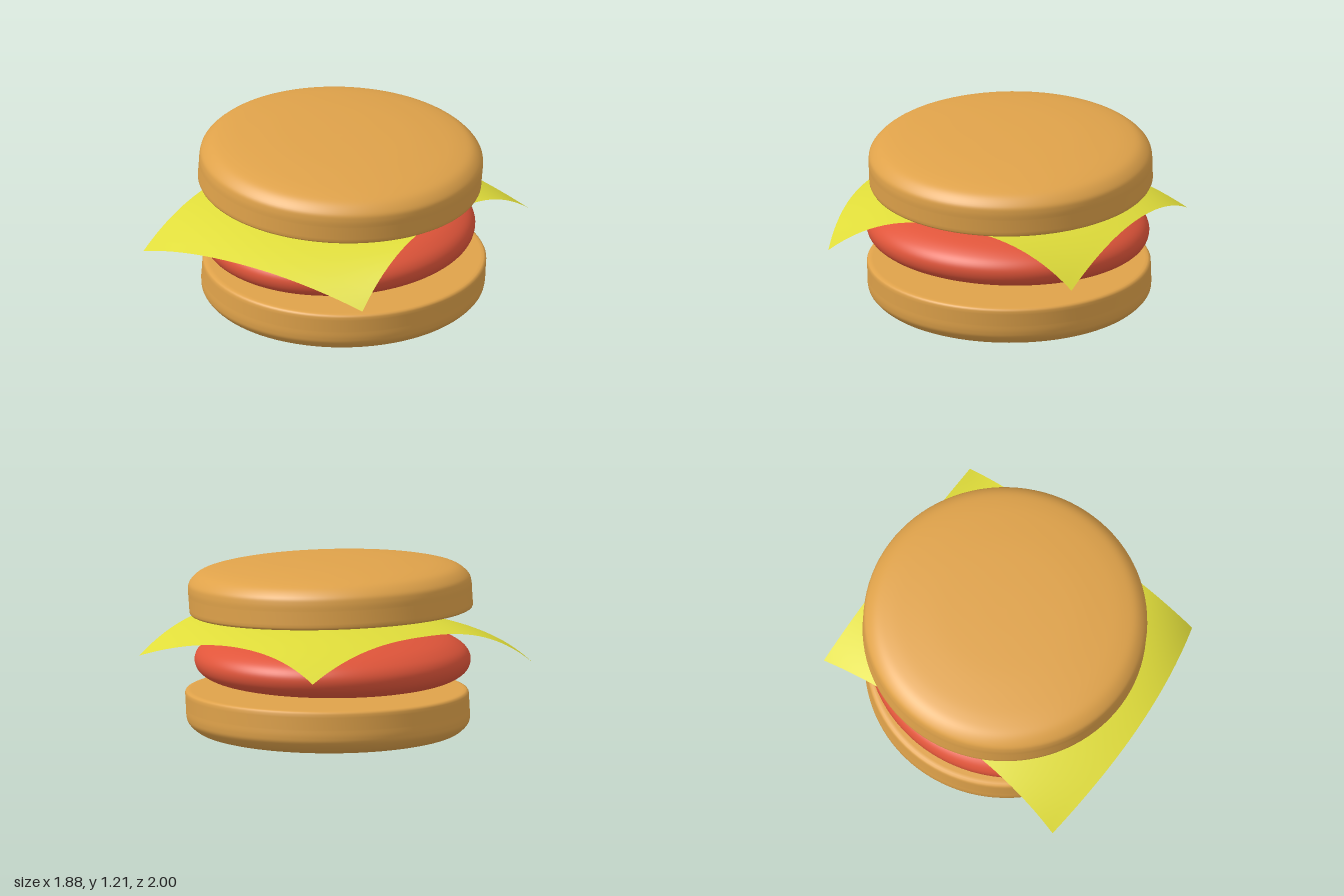
import * as THREE from 'three';

const material = (color, side = THREE.FrontSide) => new THREE.MeshStandardMaterial({ color, side });
const vectors = (points) => points.map(([x, y]) => new THREE.Vector2(x, y));

// Slightly skewed round solid: x leans by `lean` per unit of height
function skewX(geometry, lean) {
  const m = new THREE.Matrix4().set(1, lean, 0, 0, 0, 1, 0, 0, 0, 0, 1, 0, 0, 0, 0, 1);
  return geometry.applyMatrix4(m);
}

// Flat base with a small edge, straight wall, softly rounded crown
function bunGeometry() {
  const crown = new THREE.SplineCurve(vectors([
    [0.918, 0.12], [0.918, 0.17], [0.905, 0.215], [0.85, 0.265], [0.77, 0.292],
    [0.65, 0.312], [0.45, 0.332], [0.2, 0.342], [0, 0.344],
  ])).getPoints(40);
  const base = vectors([[0, 0], [0.88, 0], [0.9, 0.002], [0.912, 0.008], [0.918, 0.02], [0.918, 0.04]]);
  return new THREE.LatheGeometry([...base, ...crown], 96);
}

// Disc with a fully rounded rim
function pattyGeometry() {
  const profile = new THREE.SplineCurve(vectors([
    [0, 0], [0.35, 0.003], [0.6, 0.014], [0.78, 0.042], [0.87, 0.085], [0.905, 0.14],
    [0.9, 0.2], [0.85, 0.255], [0.74, 0.305], [0.55, 0.343], [0.3, 0.362], [0, 0.367],
  ])).getPoints(60);
  return new THREE.LatheGeometry(profile, 96);
}

// Square sheet draped over the patty, with drooping corners
function cheeseGeometry() {
  // Plan positions [x, z]: rows back, middle, front; columns left to right in x
  const plan = [
    [[-0.70, -1.0], [0.02, -0.93], [0.92, -0.87]],
    [[-0.78, 0], [0, 0], [0.80, 0]],
    [[-0.94, 0.87], [-0.08, 1.0], [0.74, 0.915]],
  ];
  const quadratic = (t) => [t * (t - 1) / 2, 1 - t * t, t * (t + 1) / 2];
  const geometry = new THREE.PlaneGeometry(2, 2, 32, 32).rotateX(-Math.PI / 2);
  const pos = geometry.attributes.position;
  for (let i = 0; i < pos.count; i++) {
    const u = pos.getX(i), v = pos.getZ(i);
    const wu = quadratic(u), wv = quadratic(v);
    let x = 0, z = 0;
    for (let r = 0; r < 3; r++) {
      for (let c = 0; c < 3; c++) {
        x += wv[r] * wu[c] * plan[r][c][0];
        z += wv[r] * wu[c] * plan[r][c][1];
      }
    }
    const au = Math.abs(u), av = Math.abs(v) ** 2.5;
    const y = 0.832
      - (v > 0 ? 0.16 : 0.1) * av
      - (u < 0 ? 0.055 : 0) * au ** 2.5
      - (u < 0 ? 0.1 : 0.16) * au ** 2 * av;
    pos.setXYZ(i, x, y, z);
  }
  geometry.computeVertexNormals();
  return geometry;
}

export function createModel() {
  const group = new THREE.Group();
  const bread = material(0xdfa24a);
  const add = (name, geometry, mat, x, y, z) => {
    const mesh = new THREE.Mesh(geometry, mat);
    mesh.name = name;
    mesh.position.set(x, y, z);
    group.add(mesh);
    return mesh;
  };

  // Bottom bun: crown turned down
  add('bottomBun', skewX(bunGeometry().rotateX(Math.PI), 0.07), bread, 0.025, 0.352, -0.05);

  // Patty: slightly wider front to back
  const patty = add('patty', pattyGeometry(), material(0xe0553a), -0.005, 0.387, -0.03);
  patty.scale.set(0.957, 1, 1.017);
  patty.rotation.z = 0.015;

  // Cheese slice
  add('cheese', cheeseGeometry(), material(0xdfdc3a, THREE.DoubleSide), 0, 0, 0);

  // Top bun: tipped a little to its left
  const topBun = add('topBun', skewX(bunGeometry(), 0.05), bread, -0.015, 0.867, -0.05);
  topBun.rotation.z = -0.038;

  return group;
}
